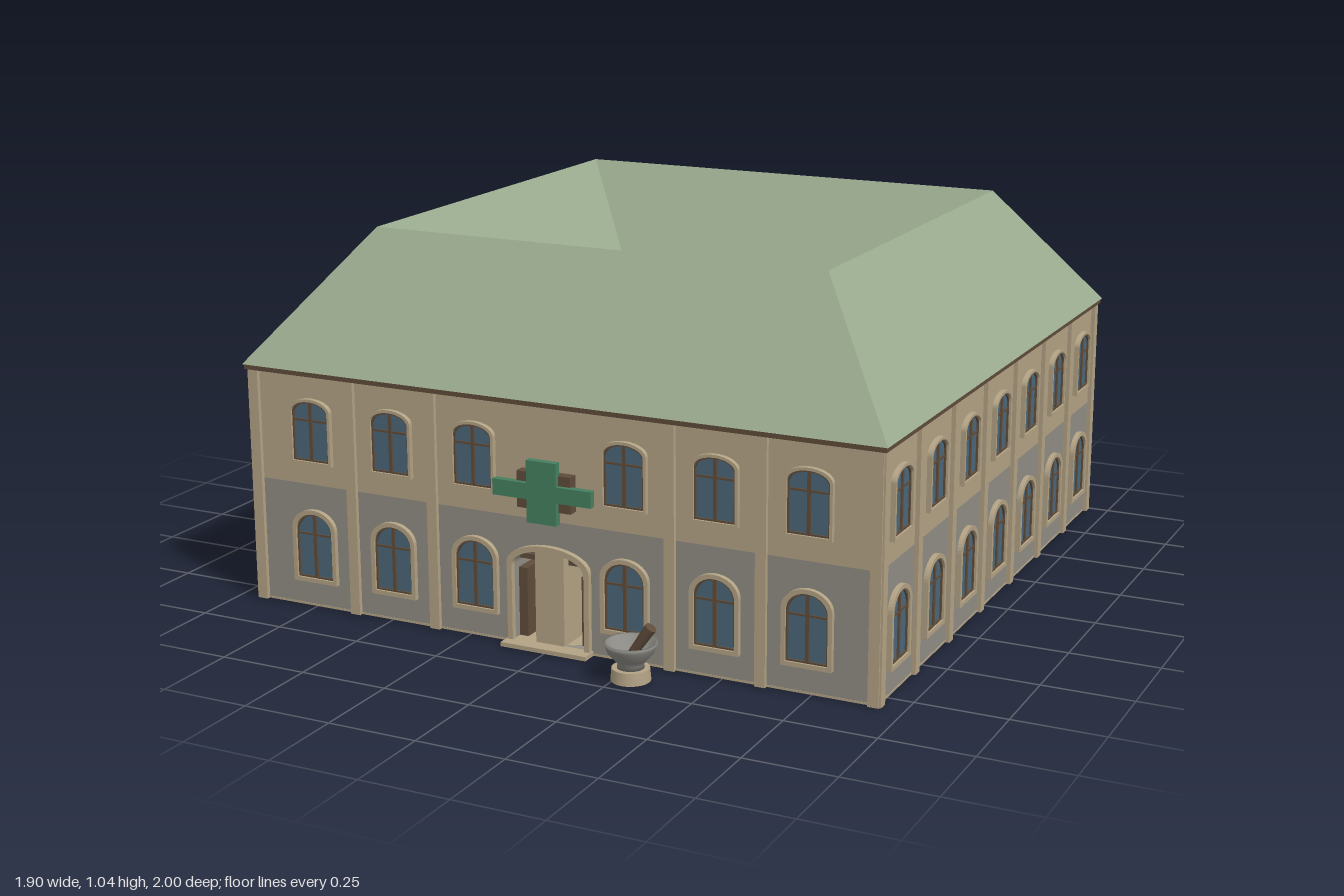
import * as THREE from 'three';

const mat = (name, color, double) => {
  const m = new THREE.MeshStandardMaterial({ color });
  m.name = name;
  if (double) m.side = THREE.DoubleSide;
  return m;
};
const plaster = mat('beige plaster', 0xb3a385);
const stone = mat('grey stone', 0x918d85);
const roofGreen = mat('roof green', 0x9aab8f);
const glass = mat('window glass', 0x4a6679);
const wood = mat('brown wood', 0x5f4c3a);
const green = mat('sign green', 0x468060);
const bowlGrey = mat('bowl grey', 0x8b8a84, true);

// Building extents: wall planes and courtyard walls
const X = 0.93, ZF = 0.823, ZB = -0.978, ZC = (ZF + ZB) / 2;
const IX = 0.41, IZF = 0.3, IZB = -0.46, IZC = (IZF + IZB) / 2;
const SPLIT = 0.355, TOP = 0.675, RECESS = 0.7;

function add(parent, name, geometry, material, x = 0, y = 0, z = 0) {
  const mesh = new THREE.Mesh(geometry, material);
  mesh.name = name;
  mesh.position.set(x, y, z);
  parent.add(mesh);
  return mesh;
}

// Box given by its minimum and maximum corners
function block(parent, name, material, x0, x1, y0, y1, z0, z1) {
  return add(parent, name, new THREE.BoxGeometry(x1 - x0, y1 - y0, z1 - z0), material,
    (x0 + x1) / 2, (y0 + y1) / 2, (z0 + z1) / 2);
}

// Outline with a flattened arch on top
function archPath(path, w, y0, y1, rise) {
  path.moveTo(-w, y0);
  path.lineTo(w, y0);
  path.lineTo(w, y1 - rise);
  path.absellipse(0, y1 - rise, w, rise, 0, Math.PI, false);
  path.lineTo(-w, y0);
  return path;
}
const extrude = (shape, depth) =>
  new THREE.ExtrudeGeometry(shape, { depth, bevelEnabled: false, curveSegments: 10 });

function frameGeometry(w, y0, y1, rise, border, depth) {
  const shape = archPath(new THREE.Shape(), w + border, y0 - border, y1 + border, rise + border / 2);
  shape.holes.push(archPath(new THREE.Path(), w, y0, y1, rise));
  return extrude(shape, depth);
}

// The two window types share their geometry across all facades
function windowKit(y0, y1, rise, border) {
  const w = 0.058;
  return {
    y0, y1,
    surround: frameGeometry(w, y0, y1, rise, border, 0.014),
    sash: frameGeometry(w - 0.005, y0 + 0.005, y1 - 0.005, rise, 0.005, 0.008),
    pane: new THREE.ShapeGeometry(archPath(new THREE.Shape(), w, y0, y1, rise), 10),
  };
}
const lowerKit = windowKit(0.085, 0.272, 0.05, 0.012);
const upperKit = windowKit(0.424, 0.594, 0.03, 0.008);

function addWindow(parent, kit, x) {
  const g = new THREE.Group();
  g.name = 'window';
  g.position.x = x;
  add(g, 'windowSurround', kit.surround, plaster);
  add(g, 'windowSash', kit.sash, wood);
  add(g, 'windowPane', kit.pane, glass, 0, 0, 0.003);
  block(g, 'mullion', wood, -0.005, 0.005, kit.y0, kit.y1, 0, 0.008);
  const bar = kit.y0 + (kit.y1 - kit.y0) * 0.68;
  block(g, 'transom', wood, -0.056, 0.056, bar - 0.003, bar + 0.003, 0, 0.007);
  parent.add(g);
}

// A facade lies in its own xy plane, facing +z, then is turned into place
function facade(parent, name, x, z, turn, lower, upper, pilasters) {
  const g = new THREE.Group();
  g.name = name;
  g.position.set(x, 0, z);
  g.rotation.y = turn;
  lower.forEach(p => addWindow(g, lowerKit, p));
  upper.forEach(p => addWindow(g, upperKit, p));
  pilasters.forEach(p => block(g, 'pilaster', plaster, p - 0.015, p + 0.015, 0, TOP, -0.005, 0.012));
  parent.add(g);
}

// Four wings around the courtyard
function ring(parent, name, material, y0, y1, front, grow = 0) {
  const x = X + grow, ix = IX - grow, b = ZB - grow, ib = IZB + grow, f = IZF - grow;
  block(parent, name + 'Front', material, -x, x, y0, y1, f, front + grow);
  block(parent, name + 'Back', material, -x, x, y0, y1, b, ib);
  for (const s of [-1, 1])
    block(parent, name + 'Side', material, Math.min(s * x, s * ix), Math.max(s * x, s * ix), y0, y1, ib, f);
}

// Hipped roof ring from rectangular loops: eave, ridge, courtyard eave
function roofGeometry() {
  const loop = (x, zf, zb, y) => [[-x, y, zf], [x, y, zf], [x, y, zb], [-x, y, zb]];
  const loops = [loop(0.95, 0.843, -0.998, 0.68), loop(0.675, 0.568, -0.725, 1.04), loop(0.4, 0.29, -0.45, 0.68)];
  const pos = [];
  loops.forEach((a, k) => {
    const b = loops[(k + 1) % 3];
    for (let i = 0; i < 4; i++) {
      const j = (i + 1) % 4;
      pos.push(...a[i], ...a[j], ...b[j], ...a[i], ...b[j], ...b[i]);
    }
  });
  const g = new THREE.BufferGeometry();
  g.setAttribute('position', new THREE.Float32BufferAttribute(pos, 3));
  g.computeVertexNormals();
  return g;
}

function addEntrance(parent) {
  const g = new THREE.Group();
  g.name = 'entrance';
  // Front wall slab with the arched opening
  const wall = new THREE.Shape();
  wall.moveTo(-X, 0.006);
  wall.lineTo(X, 0.006);
  wall.lineTo(X, SPLIT);
  wall.lineTo(-X, SPLIT);
  wall.holes.push(archPath(new THREE.Path(), 0.108, 0.012, 0.272, 0.05));
  add(g, 'frontWallLower', extrude(wall, ZF - RECESS), stone, 0, 0, RECESS);
  add(g, 'doorSurround', frameGeometry(0.108, 0.012, 0.272, 0.05, 0.015, 0.016), plaster, 0, 0, ZF);
  block(g, 'doorStep', plaster, -0.128, 0.128, 0, 0.012, RECESS, 0.87);
  block(g, 'centrePier', plaster, -0.043, 0.043, 0.012, 0.278, RECESS, ZF + 0.004);
  for (const s of [-1, 1]) {
    block(g, 'doorLeaf', wood, s * 0.095 - 0.013, s * 0.095 + 0.013, 0.012, 0.205, RECESS, 0.8);
    block(g, 'doorTransom', wood, s * 0.075 - 0.033, s * 0.075 + 0.033, 0.232, 0.246, 0.78, 0.8);
  }
  parent.add(g);
}

function addSign(parent) {
  const g = new THREE.Group();
  g.name = 'crossSign';
  block(g, 'signBacking', wood, -0.08, 0.08, 0.392, 0.492, ZF, 0.852);
  const a = 0.146, b = 0.085, t = 0.044, u = 0.022;
  const pts = [[-a, -u], [-t, -u], [-t, -b], [t, -b], [t, -u], [a, -u], [a, u], [t, u], [t, b], [-t, b], [-t, u], [-a, u]];
  const shape = new THREE.Shape(pts.map(p => new THREE.Vector2(...p)));
  add(g, 'cross', extrude(shape, 0.02), green, 0, 0.443, 0.845);
  parent.add(g);
}

function addMortar(parent) {
  const g = new THREE.Group();
  g.name = 'mortarAndPestle';
  g.position.set(0.292, 0, 0.928);
  add(g, 'plinth', new THREE.CylinderGeometry(0.05, 0.053, 0.034, 24), plaster, 0, 0.017, 0);
  const profile = [[0, 0.034], [0.036, 0.034], [0.034, 0.044], [0.045, 0.058], [0.06, 0.075], [0.067, 0.092],
    [0.071, 0.102], [0.062, 0.102], [0.05, 0.078], [0.025, 0.06], [0, 0.057]];
  add(g, 'bowl', new THREE.LatheGeometry(profile.map(p => new THREE.Vector2(...p)), 28), bowlGrey);
  const pestle = add(g, 'pestle', new THREE.CylinderGeometry(0.016, 0.012, 0.11, 14), wood, 0.026, 0.104, -0.003);
  pestle.rotation.z = -0.6;
  parent.add(g);
}

function addCourtyard(parent) {
  const g = new THREE.Group();
  g.name = 'courtyard';
  block(g, 'courtyardFloor', stone, -IX, IX, 0, 0.008, IZB, IZF);
  const bush = new THREE.SphereGeometry(1, 14, 10);
  for (const s of [-1, 1]) {
    const x = s * 0.215;
    block(g, 'planter', plaster, x - 0.085, x + 0.085, 0.008, 0.045, 0.062, 0.156);
    for (let i = -2; i <= 2; i++)
      add(g, 'bush', bush, green, x + i * 0.029, 0.055, 0.109).scale.set(0.017, 0.028, 0.024);
    block(g, 'benchSeat', wood, x - 0.075, x + 0.075, 0.04, 0.05, 0.076 - 0.178 + 0.002, -0.074);
    for (const e of [-0.06, 0.06])
      block(g, 'benchLeg', wood, x + e - 0.006, x + e + 0.006, 0.008, 0.04, -0.096, -0.078);
  }
  parent.add(g);
}

export function createModel() {
  const model = new THREE.Group();
  model.name = 'courtyardBuilding';

  // Base, walls and eaves
  ring(model, 'base', plaster, 0, 0.006, ZF, 0.001);
  ring(model, 'lowerWall', stone, 0.006, SPLIT, RECESS);
  ring(model, 'upperWall', plaster, SPLIT, TOP - 0.008, ZF);
  ring(model, 'eaveTrim', wood, TOP - 0.009, TOP + 0.004, ZF, 0.016);
  add(model, 'roof', roofGeometry(), roofGreen);
  addEntrance(model);

  // Outer facades
  const mirror = a => [...a, ...a.map(v => -v)];
  const cols = mirror([0.225, 0.483, 0.74]);
  const posts = mirror([0.355, 0.612, 0.922]);
  facade(model, 'frontFacade', 0, ZF, 0, cols, cols, posts);
  facade(model, 'backFacade', 0, ZB, Math.PI, cols, [0, ...cols], posts);
  const sideCols = [-3, -2, -1, 0, 1, 2, 3].map(i => i * 0.2585);
  const sidePosts = mirror([0.129, 0.388, 0.646, 0.893]);
  for (const s of [-1, 1])
    facade(model, s > 0 ? 'leftFacade' : 'rightFacade', s * X, ZC, s * Math.PI / 2, sideCols, sideCols, sidePosts);

  // Courtyard facades
  const inner = mirror([0.1, 0.3]), innerSide = mirror([0.09, 0.27]);
  facade(model, 'courtyardBackFacade', 0, IZB, 0, inner, inner, []);
  facade(model, 'courtyardFrontFacade', 0, IZF, Math.PI, mirror([0.25]), mirror([0.25]), []);
  for (const s of [-1, 1])
    facade(model, 'courtyardSideFacade', s * IX, IZC, -s * Math.PI / 2, innerSide, innerSide, []);

  addSign(model);
  addMortar(model);
  addCourtyard(model);
  return model;
}
